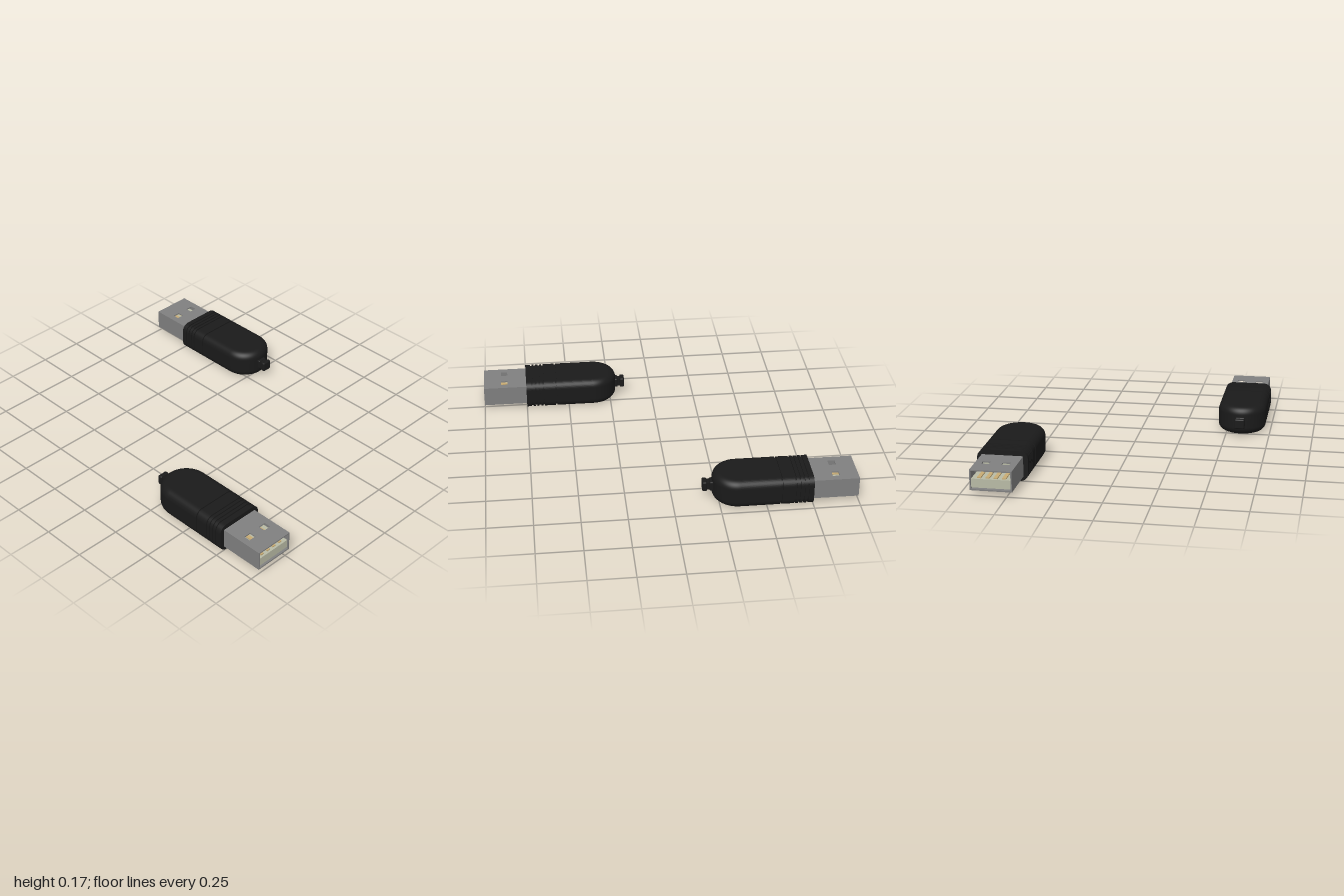
import * as THREE from 'three';
import { RoundedBoxGeometry } from 'three/addons/geometries/RoundedBoxGeometry.js';

const mat = (color) => new THREE.MeshStandardMaterial({ color });
const rubber = mat(0x1a1a1a), metal = mat(0x808080), plastic = mat(0xb8baa5), gold = mat(0xc8ac74), dark = mat(0x303030);

const HW = 0.138, HH = 0.083, R = 0.045;   // body half width, half height, corner radius
const BEND = 0.353, FACE = 0.75, TIP = 1;  // where the round end starts, plug side face, plug mouth

function add(parent, name, geometry, material, x = 0, y = 0, z = 0) {
  const mesh = new THREE.Mesh(geometry, material);
  mesh.name = name;
  mesh.position.set(x, y, z);
  parent.add(mesh);
  return mesh;
}

function roundedRect(w, h, r) {
  const s = new THREE.Shape();
  s.absarc(w - r, h - r, r, 0, Math.PI / 2);
  s.absarc(-w + r, h - r, r, Math.PI / 2, Math.PI);
  s.absarc(-w + r, -h + r, r, Math.PI, Math.PI * 1.5);
  s.absarc(w - r, -h + r, r, Math.PI * 1.5, Math.PI * 2);
  return s;
}

const slab = (inset, length) => new THREE.ExtrudeGeometry(
  roundedRect(HW - inset, HH - inset, R - inset), { depth: length, bevelEnabled: false, curveSegments: 10 });

function createBody() {
  const body = new THREE.Group();
  body.name = 'body';

  // half-round end, with the same edge radius as the straight part
  const profile = [new THREE.Vector2(0, -HH)];
  for (const side of [-1, 1]) {
    for (let i = 0; i <= 10; i++) {
      const a = (side < 0 ? -Math.PI / 2 : 0) + (i / 10) * Math.PI / 2;
      profile.push(new THREE.Vector2(HW - R + R * Math.cos(a), side * (HH - R) + R * Math.sin(a)));
    }
  }
  profile.push(new THREE.Vector2(0, HH));
  add(body, 'roundEnd', new THREE.LatheGeometry(profile, 40, Math.PI / 2, Math.PI), rubber, 0, 0, BEND);

  // straight part: a core with full-size bands that leave the grip grooves between them
  add(body, 'core', slab(0.007, FACE - BEND - 0.002), rubber, 0, 0, BEND);
  const grooves = [0.575, 0.65, 0.672, 0.695, 0.717];
  const half = 0.005;
  let start = BEND;
  for (const z of [...grooves, FACE + half]) {
    add(body, 'gripBand', slab(0, z - half - start), rubber, 0, 0, start);
    start = z + half;
  }

  // small lug at the round end
  add(body, 'lugBase', new RoundedBoxGeometry(0.056, 0.056, 0.03, 3, 0.008), rubber, 0, 0, 0.216);
  add(body, 'lugNeck', new THREE.BoxGeometry(0.042, 0.042, 0.05), rubber, 0, 0, 0.197);
  add(body, 'lugHead', new RoundedBoxGeometry(0.058, 0.058, 0.026, 3, 0.008), rubber, 0, 0, 0.175);
  return body;
}

function createPlug() {
  const plug = new THREE.Group();
  plug.name = 'plug';
  const w = 0.112, h = 0.056, t = 0.007, length = TIP - FACE + 0.02, mid = TIP - length / 2;

  // top and bottom plates with two square windows each
  const plate = new THREE.Shape();
  plate.moveTo(-w, -TIP).lineTo(w, -TIP).lineTo(w, -TIP + length).lineTo(-w, -TIP + length).closePath();
  for (const x of [-0.054, 0.054]) {
    const hole = new THREE.Path();
    hole.moveTo(x - 0.021, -0.898).lineTo(x - 0.021, -0.86).lineTo(x + 0.021, -0.86).lineTo(x + 0.021, -0.898).closePath();
    plate.holes.push(hole);
  }
  const plateGeo = new THREE.ExtrudeGeometry(plate, { depth: t, bevelEnabled: false });
  plateGeo.rotateX(-Math.PI / 2);
  add(plug, 'shellTop', plateGeo, metal, 0, h - t, 0);
  add(plug, 'shellBottom', plateGeo, metal, 0, -h, 0);
  for (const side of [-1, 1]) {
    add(plug, 'shellSide', new THREE.BoxGeometry(t, 2 * (h - t), length), metal, side * (w - t / 2), 0, mid);
  }

  // plastic tongue, back wall and the four contacts
  add(plug, 'tongue', new THREE.BoxGeometry(2 * (w - t), 0.048, length - 0.008), plastic, 0, -0.019, mid - 0.004);
  add(plug, 'backWall', new THREE.BoxGeometry(2 * (w - t), 2 * (h - t), 0.02), plastic, 0, 0, FACE);
  add(plug, 'tongueBase', new THREE.BoxGeometry(2 * (w - t), 0.004, length - 0.02), dark, 0, -0.0455, mid - 0.01);
  for (const x of [-0.066, -0.021, 0.021, 0.066]) {
    add(plug, 'contact', new THREE.BoxGeometry(0.02, 0.008, 0.19), gold, x, 0.007, 0.885);
  }
  return plug;
}

function createStick() {
  const stick = new THREE.Group();
  stick.add(createBody(), createPlug());
  return stick;
}

export function createModel() {
  const model = new THREE.Group();
  model.name = 'memorySticks';
  // two identical sticks, facing opposite ways
  for (const side of [-1, 1]) {
    const stick = createStick();
    stick.name = side < 0 ? 'frontStick' : 'backStick';
    stick.position.set(side * 0.583, HH, 0);
    stick.rotation.y = side < 0 ? 0 : Math.PI;
    model.add(stick);
  }
  return model;
}
